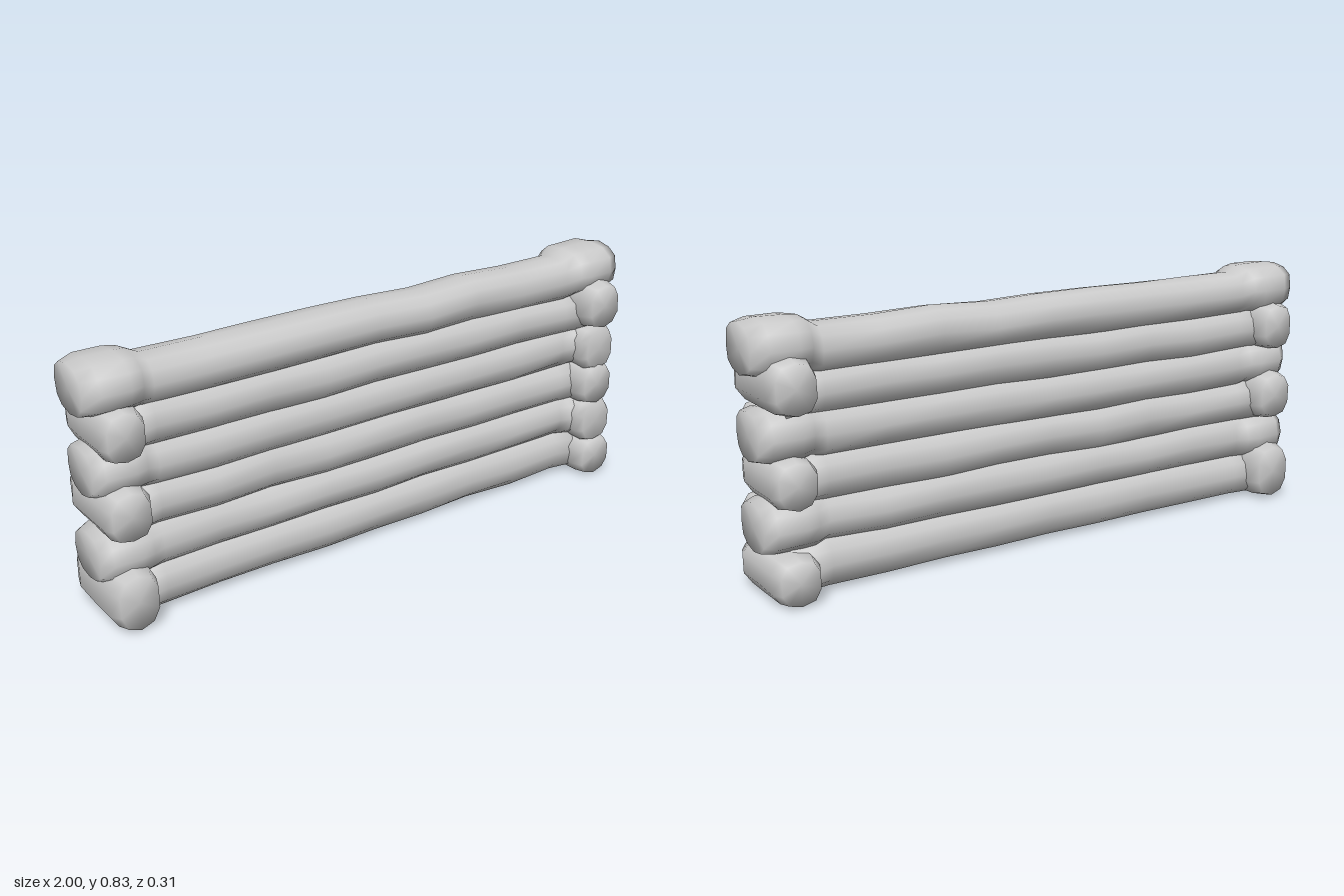
import * as THREE from 'three';

const wood = new THREE.MeshStandardMaterial({ color: 0xcccccc });
wood.name = 'pale grey wood';

// Seeded noise in -1..1 for hand-hewn unevenness
let seed = 7;
const noise = () => {
  seed = (seed * 16807) % 2147483647;
  return (seed / 2147483647) * 2 - 1;
};

// Smooth log along x. Each section is [x, y, z, halfHeight, halfDepth].
function hewnLog(sections, rough, sides = 12, boxy = 0.8) {
  const pos = [], idx = [], n = sections.length;
  const soft = (v) => Math.sign(v) * Math.abs(v) ** boxy;
  for (const [x, y, z, ry, rz] of sections) {
    for (let i = 0; i < sides; i++) {
      const a = (i / sides) * Math.PI * 2;
      const k = 1 + noise() * rough;
      pos.push(x, Math.max(0.002, y + soft(Math.cos(a)) * ry * k), z + soft(Math.sin(a)) * rz * k);
    }
  }
  for (let s = 0; s < n - 1; s++) {
    for (let i = 0; i < sides; i++) {
      const a = s * sides + i, b = s * sides + (i + 1) % sides;
      idx.push(a, b, a + sides, b, b + sides, a + sides);
    }
  }
  // End caps share the rim vertices, so the ends shade as worn and rounded
  const c0 = n * sides, last = (n - 1) * sides;
  for (const s of [sections[0], sections[n - 1]]) pos.push(s[0], s[1], s[2]);
  for (let i = 0; i < sides; i++) {
    const j = (i + 1) % sides;
    idx.push(c0, j, i, c0 + 1, last + i, last + j);
  }
  const g = new THREE.BufferGeometry();
  g.setAttribute('position', new THREE.Float32BufferAttribute(pos, 3));
  g.setIndex(idx);
  g.computeVertexNormals();
  return g;
}

export function createModel() {
  const group = new THREE.Group();
  const add = (name, geometry) => {
    const mesh = new THREE.Mesh(geometry, wood);
    mesh.name = name;
    group.add(mesh);
    return mesh;
  };

  // Long wall logs: every second one ends in thick knobs, the rest flare into the cross stubs
  const rows = [
    { y: 0.085, ry: 0.079 },
    { y: 0.22, ry: 0.076, knobY: 0.22, end: 0.985, kry: 0.082, krz: 0.115 },
    { y: 0.35, ry: 0.076 },
    { y: 0.48, ry: 0.076, knobY: 0.49, end: 0.985, kry: 0.081, krz: 0.11 },
    { y: 0.605, ry: 0.075 },
    { y: 0.73, ry: 0.073, knobY: 0.745, end: 0.998, kry: 0.083, krz: 0.12 },
  ];
  rows.forEach((r, row) => {
    const knob = r.knobY !== undefined;
    const tip = (s) => (knob
      ? [[r.end, 0.9, 0.75], [0.95, 1, 0.97], [0.86, 1, 1], [0.82, 0.95, 0.92]]
          .map(([x, h, d]) => [s * x, r.knobY, 0, r.kry * h, r.krz * d])
      : [[s * 0.9, r.y, 0, r.ry, 0.115]]);
    const middle = [];
    for (let i = 0; i <= 8; i++) {
      middle.push([-0.78 + i * 0.195, r.y + noise() * 0.004, noise() * 0.004, r.ry, 0.088]);
    }
    add('wallLog' + (row + 1), hewnLog([...tip(-1), ...middle, ...tip(1).reverse()], 0.03));
  });

  // Cross stubs at the corners, running front to back
  const stub = (name, x, y, rx, ry, back, front) => {
    const mid = (back + front) / 2;
    const g = hewnLog([
      [back, y, 0, ry * 0.88, rx * 0.8],
      [back * 0.7 + mid * 0.3, y, 0, ry, rx],
      [mid, y, 0, ry, rx],
      [front * 0.7 + mid * 0.3, y, 0, ry, rx],
      [front, y, 0, ry * 0.88, rx * 0.8],
    ], 0.03, 10);
    g.rotateY(-Math.PI / 2);
    add(name, g).position.x = x;
  };
  stub('rightLowerStub', -0.9, 0.1, 0.08, 0.1, -0.145, 0.145);
  stub('rightMiddleStub', -0.9, 0.375, 0.078, 0.085, -0.14, 0.14);
  stub('rightUpperStub', -0.9, 0.62, 0.073, 0.083, -0.14, 0.14);
  stub('leftLowerStub', 0.905, 0.075, 0.078, 0.076, -0.148, 0.148);
  stub('leftMiddleStub', 0.89, 0.355, 0.075, 0.08, -0.124, 0.148);
  stub('leftUpperStub', 0.895, 0.642, 0.078, 0.085, -0.154, 0.154);

  // Short infill blocks that close the front of the left corner
  stub('leftLowerInfill', 0.895, 0.212, 0.076, 0.08, 0, 0.147);
  stub('leftUpperInfill', 0.89, 0.487, 0.074, 0.08, 0, 0.147);

  return group;
}
